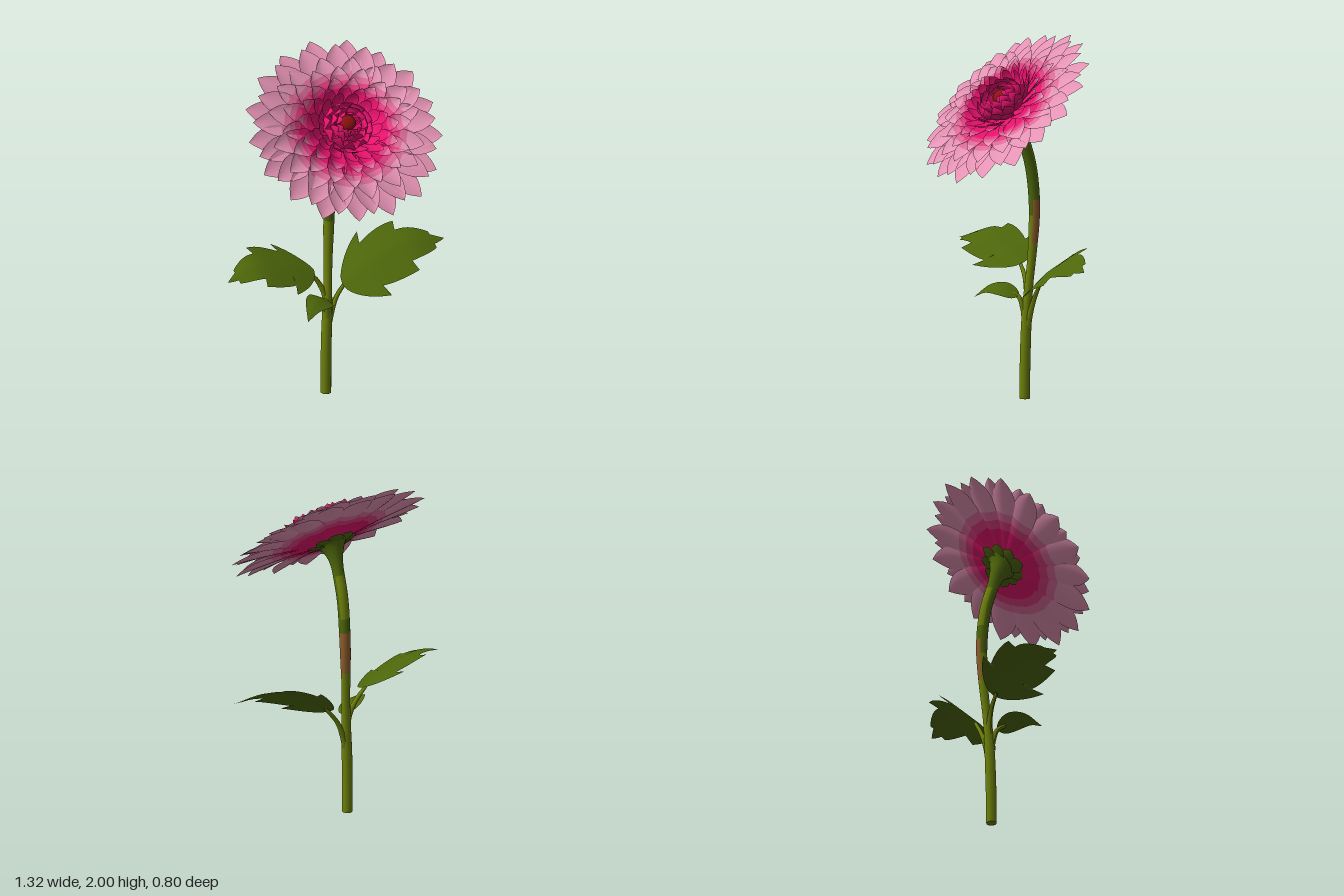
import * as THREE from 'three';

const V = (x, y, z) => new THREE.Vector3(x, y, z);
const material = (name, color) => {
  const m = new THREE.MeshStandardMaterial({ color, side: THREE.DoubleSide });
  m.name = name;
  return m;
};

const mats = [
  material('deepMagenta', 0xc80a5c),
  material('magenta', 0xe4126c),
  material('rose', 0xe03f80),
  material('softPink', 0xdf6c9a),
  material('palePink', 0xe593b4),
  material('darkRed', 0x8c1212),
  material('leafGreen', 0x4d660a),
  material('stemGreen', 0x6e810a),
  material('brown', 0x8f5e2c),
];
const [DEEP, MAGENTA, ROSE, SOFT, PALE, RED, LEAF, STEM, BROWN] = mats.keys();

let seed = 7;
const jitter = (a) => {
  seed = (seed * 16807) % 2147483647;
  return (seed / 2147483647 - 0.5) * 2 * a;
};

// Grid surface: point(t, s) with t in 0..1 and s in -1..1; colour(t, s) picks a material per cell
function sheet(rows, cols, point, colour) {
  const pos = [];
  for (let i = 0; i <= rows; i++)
    for (let j = 0; j <= cols; j++) pos.push(...point(i / rows, (j / cols) * 2 - 1).toArray());
  const buckets = mats.map(() => []);
  for (let i = 0; i < rows; i++)
    for (let j = 0; j < cols; j++) {
      const a = i * (cols + 1) + j, b = a + cols + 1;
      buckets[colour((i + 0.5) / rows, ((j + 0.5) / cols) * 2 - 1)].push(a, a + 1, b, b, a + 1, b + 1);
    }
  const g = new THREE.BufferGeometry();
  g.setAttribute('position', new THREE.Float32BufferAttribute(pos, 3));
  g.setIndex(buckets.flat());
  let start = 0;
  buckets.forEach((b, k) => {
    if (b.length) g.addGroup(start, b.length, k);
    start += b.length;
  });
  g.computeVertexNormals();
  return g;
}

function mesh(name, geometry, mat = mats) {
  const m = new THREE.Mesh(geometry, mat);
  m.name = name;
  return m;
}

// Tube of varying radius along a path lying mostly in the y-z plane
function stalk(points, radius, colour, rows, cols) {
  const curve = new THREE.CatmullRomCurve3(points);
  return sheet(rows, cols, (t, s) => {
    const side = V(1, 0, 0);
    const tan = curve.getTangent(t);
    side.addScaledVector(tan, -side.dot(tan)).normalize();
    const other = V(0, 0, 0).crossVectors(side, tan);
    const a = s * Math.PI, r = radius(t);
    return curve.getPoint(t).addScaledVector(side, r * Math.cos(a)).addScaledVector(other, r * Math.sin(a));
  }, colour);
}

// Cupped petal with a short point, whose midline is a (radius, height) curve
function petal([base, ctrl, tip], half, cup, bands) {
  const curve = new THREE.QuadraticBezierCurve(
    new THREE.Vector2(...base), new THREE.Vector2(...ctrl), new THREE.Vector2(...tip));
  const width = (t) => t < 0.66
    ? 0.36 + 0.64 * Math.sin((t / 0.66) * Math.PI / 2)
    : 1 - Math.pow((t - 0.66) / 0.34, 2.3);
  return sheet(20, 6, (t, s) => {
    const p = curve.getPoint(t), w = width(t);
    return V(p.x, p.y + (cup * s * s + 0.006 * s) * w, s * half * w);
  }, (t) => bands.find(([limit]) => t < limit)[1]);
}

function flowerHead() {
  const head = new THREE.Group();
  head.name = 'flowerHead';
  const fade = (a, b, c) => [[a, MAGENTA], [b, ROSE], [c, SOFT], [2, PALE]];
  const inner = [[0.35, DEEP], [2, MAGENTA]];
  // count, half width, midline, cup, colour bands
  const rings = [
    [17, 0.08, [[0.04, -0.06], [0.3, -0.012], [0.545, -0.008]], 0.016, fade(0.35, 0.45, 0.56)],
    [17, 0.074, [[0.04, -0.05], [0.28, 0.005], [0.512, 0.012]], 0.018, fade(0.43, 0.55, 0.66)],
    [16, 0.066, [[0.04, -0.035], [0.24, 0.014], [0.435, 0.034]], 0.018, fade(0.54, 0.65, 0.75)],
    [16, 0.056, [[0.04, -0.025], [0.2, 0.012], [0.36, 0.058]], 0.018, fade(0.66, 0.76, 0.86)],
    [15, 0.047, [[0.04, -0.015], [0.17, 0.01], [0.285, 0.082]], 0.018, fade(0.76, 0.86, 0.95)],
    [14, 0.038, [[0.04, -0.01], [0.17, 0], [0.228, 0.105]], 0.014, [[0.3, DEEP], [0.88, MAGENTA], [2, ROSE]]],
    [13, 0.034, [[0.04, 0], [0.165, 0], [0.178, 0.115]], 0.01, inner],
    [12, 0.036, [[0.06, 0], [0.17, 0.05], [0.112, 0.118]], -0.01, inner],
    [11, 0.031, [[0.05, 0.02], [0.13, 0.09], [0.078, 0.125]], -0.009, inner],
    [9, 0.024, [[0.04, 0.03], [0.095, 0.1], [0.045, 0.114]], -0.006, inner],
  ];
  rings.forEach(([n, half, line, cup, bands], k) => {
    const ring = new THREE.Group();
    ring.name = 'petalRing' + (k + 1);
    const g = petal(line, half, cup, bands);
    for (let i = 0; i < n; i++) {
      const p = mesh('petal', g);
      p.rotation.y = Math.PI / 2 + ((i + (k % 2) * 0.5) / n) * Math.PI * 2 + (k ? jitter(0.06) : 0);
      p.rotation.z = jitter(0.025);
      p.scale.setScalar(1 + jitter(0.015));
      ring.add(p);
    }
    head.add(ring);
  });

  // Centre button
  const heart = mesh('flowerCentre', new THREE.SphereGeometry(0.045, 16, 10), mats[RED]);
  heart.position.set(0, 0.078, -0.015);
  heart.scale.y = 0.6;
  head.add(heart);

  // Sepals behind the petals
  const sepal = petal([[0.03, -0.075], [0.08, -0.074], [0.145, -0.058]], 0.042, 0.004, [[2, LEAF]]);
  for (let i = 0; i < 9; i++) {
    const s = mesh('sepal', sepal);
    s.rotation.y = (i / 9) * Math.PI * 2;
    s.scale.setScalar(0.95 + jitter(0.1));
    head.add(s);
  }
  head.position.set(0, 1.63, 0);
  head.rotation.x = 0.764;
  head.scale.x = 1.04;
  return head;
}

// Leaf blade along a midline, spread in the given width direction, with forward-leaning teeth
function leaf(name, points, across, half, teeth, depth) {
  const curve = new THREE.CatmullRomCurve3(points);
  const dir = across.clone().normalize();
  const g = sheet(60, 8, (t, s) => {
    const envelope = Math.max(0, Math.sin(Math.PI * Math.pow(t, 0.6)));
    const tooth = (t * teeth) % 1;
    const w = half * envelope * (1 - depth + depth * tooth);
    const p = curve.getPoint(t).addScaledVector(dir, s * w);
    p.addScaledVector(curve.getTangent(t), depth * 0.12 * s * s * tooth * envelope);
    p.y -= 0.12 * Math.abs(s) * w;
    return p;
  }, () => LEAF);
  return mesh(name, g);
}

export function createModel() {
  const model = new THREE.Group();
  model.name = 'flower';

  // Main stem, flaring into the flower head, with a brown streak on its right and back
  const path = [V(-0.04, 0, -0.14), V(-0.037, 0.27, -0.143), V(-0.025, 0.55, -0.15), V(-0.01, 0.83, -0.172),
    V(0, 1.08, -0.178), V(0, 1.29, -0.155), V(0, 1.44, -0.11), V(0, 1.53, -0.075), V(0, 1.595, -0.035)];
  const stemRadius = (t) => 0.029 - 0.007 * Math.exp(-Math.pow((t - 0.32) / 0.1, 2))
    + 0.005 * t + 0.06 * Math.pow(Math.max(0, (t - 0.74) / 0.26), 2.2);
  const stemColour = (t, s) => {
    const x = Math.cos(s * Math.PI), front = Math.sin(s * Math.PI);
    if (t > 0.39 && t < 0.51 && x > (front > 0 ? 0.6 : -0.75)) return BROWN;
    const patch = front < -0.3 && t > 0.56 && t < 0.74;
    return t > 0.47 && !patch ? LEAF : STEM;
  };
  model.add(mesh('stem', stalk(path, stemRadius, stemColour, 64, 16)));
  const cap = mesh('stemBase', new THREE.CircleGeometry(0.029, 16), mats[STEM]);
  cap.rotation.x = Math.PI / 2;
  cap.position.set(-0.04, 0.001, -0.14);
  model.add(cap);

  // Leaf stalks
  const stalks = [
    [V(-0.03, 0.36, -0.147), V(-0.005, 0.46, -0.15), V(0.035, 0.56, -0.155), V(0.11, 0.66, -0.15)],
    [V(-0.03, 0.46, -0.148), V(-0.04, 0.58, -0.155), V(-0.08, 0.67, -0.165), V(-0.14, 0.74, -0.17)],
    [V(-0.035, 0.4, -0.145), V(-0.038, 0.5, -0.13), V(-0.055, 0.565, -0.11), V(-0.09, 0.585, -0.08)],
  ];
  stalks.forEach((pts) =>
    model.add(mesh('leafStalk', stalk(pts, (t) => 0.021 - 0.012 * t, () => STEM, 14, 8))));

  // Leaves
  model.add(leaf('leftLeaf', [V(0.06, 0.63, -0.14), V(0.24, 0.745, -0.12), V(0.46, 0.82, -0.105), V(0.66, 0.8, -0.09)],
    V(0.05, -0.52, 0.85), 0.225, 3.4, 0.36));
  model.add(leaf('rightLeaf', [V(-0.1, 0.74, -0.165), V(-0.28, 0.81, -0.155), V(-0.48, 0.86, -0.14), V(-0.66, 0.81, -0.105)],
    V(-0.05, -0.36, 0.93), 0.205, 3.4, 0.36));
  model.add(leaf('smallLeaf', [V(-0.05, 0.575, -0.11), V(-0.12, 0.61, -0.055), V(-0.19, 0.605, 0), V(-0.25, 0.55, 0.055)],
    V(0.6, -0.35, 0.65), 0.072, 1, 0));

  model.add(flowerHead());
  return model;
}
